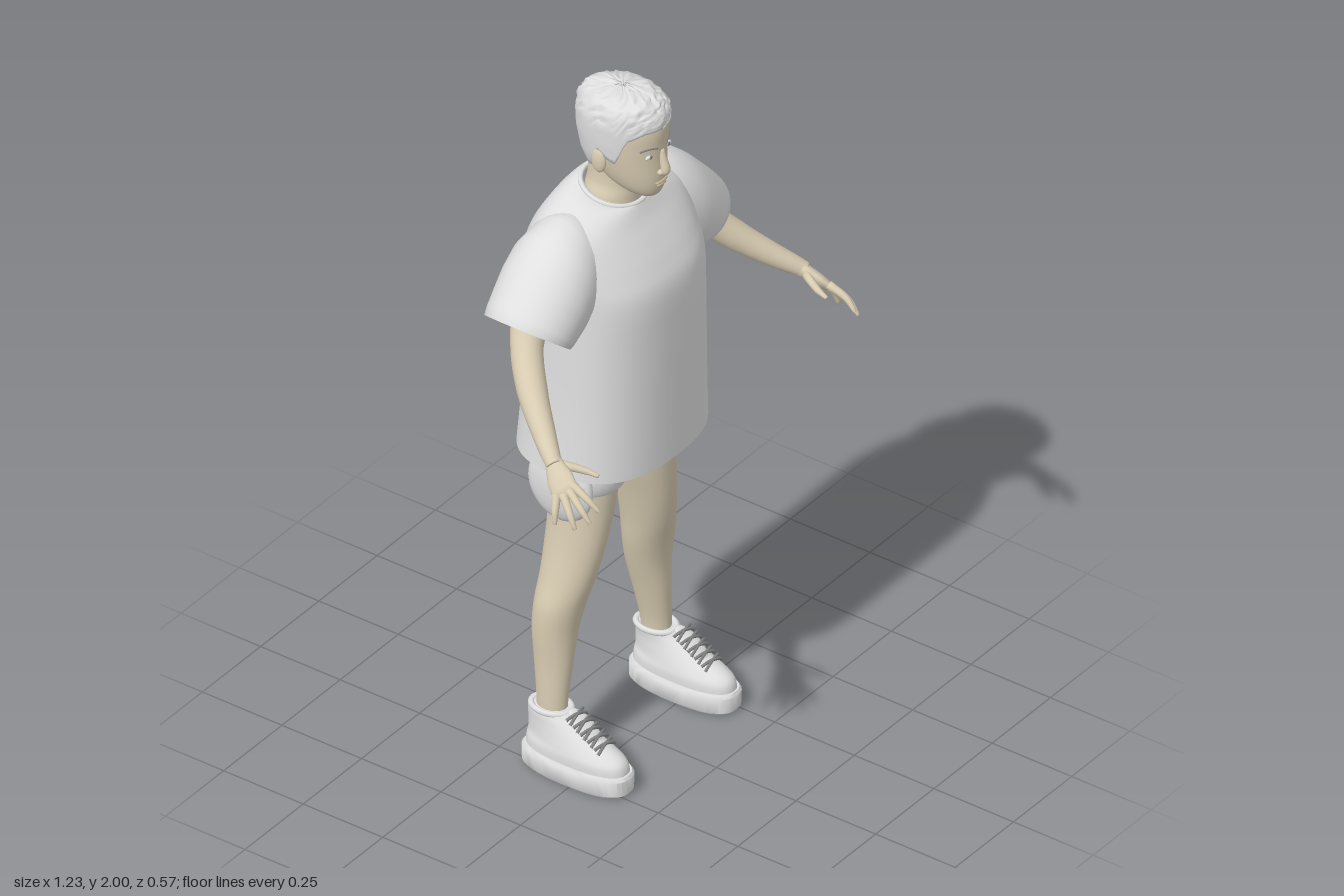
import * as THREE from 'three';
import { toCreasedNormals } from 'three/addons/utils/BufferGeometryUtils.js';

const V = (x, y, z) => new THREE.Vector3(x, y, z);
const paint = (name, color, side = THREE.FrontSide) =>
  Object.assign(new THREE.MeshStandardMaterial({ color, side }), { name });

// Skin over rings of points; caps close the first and last ring.
function loft(rings, capStart = true, capEnd = true) {
  const n = rings[0].length, pos = [], idx = [];
  rings.forEach(r => r.forEach(p => pos.push(p.x, p.y, p.z)));
  for (let i = 0; i < rings.length - 1; i++) for (let j = 0; j < n; j++) {
    const k = (j + 1) % n, a = i * n + j, b = i * n + k;
    idx.push(a, b, b + n, a, b + n, a + n);
  }
  const cap = (i, flip) => {
    const c = rings[i].reduce((s, p) => s.add(p), V(0, 0, 0)).divideScalar(n);
    const m = pos.length / 3;
    pos.push(c.x, c.y, c.z);
    for (let j = 0; j < n; j++) {
      const a = i * n + j, b = i * n + (j + 1) % n;
      flip ? idx.push(m, b, a) : idx.push(m, a, b);
    }
  };
  if (capStart) cap(0, true);
  if (capEnd) cap(rings.length - 1, false);
  const g = new THREE.BufferGeometry();
  g.setAttribute('position', new THREE.Float32BufferAttribute(pos, 3));
  g.setIndex(idx);
  g.computeVertexNormals();
  return g;
}

const ring = (c, u, v, n = 32, pow = 2) => Array.from({ length: n }, (_, j) => {
  const t = j / n * Math.PI * 2, s = Math.sin(t), k = Math.cos(t), f = q => Math.sign(q) * Math.abs(q) ** (2 / pow);
  return c.clone().addScaledVector(u, f(s)).addScaledVector(v, f(k));
});

// Level oval sections, bottom to top: [y, x0, x1, zBack, zFront, tilt, power]
function ovals(list, { steps = 4, start = true, end = true, n = 40 } = {}) {
  const full = list.map(r => [...r, ...[0, 2].slice(r.length - 5)]);
  const curves = full[0].map((_, c) => new THREE.SplineCurve(full.map((r, i) => new THREE.Vector2(i, r[c]))));
  const count = (list.length - 1) * steps, rings = [];
  for (let i = 0; i <= count; i++) {
    const [y, x0, x1, z0, z1, tilt, pow] = curves.map(c => c.getPoint(i / count).y);
    rings.push(ring(V((x0 + x1) / 2, y, (z0 + z1) / 2), V((x1 - x0) / 2, 0, 0), V(0, -tilt, (z1 - z0) / 2), n, pow));
  }
  return loft(rings, start, end);
}

// Round limb along points [x, y, z, radius]
function limb(pts, n = 16, steps = 4) {
  const curve = new THREE.CatmullRomCurve3(pts.map(p => V(...p)));
  const count = (pts.length - 1) * steps, rings = [];
  for (let i = 0; i <= count; i++) {
    const t = i / count, f = t * (pts.length - 1), a = Math.min(Math.floor(f), pts.length - 2);
    const r = THREE.MathUtils.lerp(pts[a][3], pts[a + 1][3], f - a);
    const d = curve.getTangent(t), u = V(0, 0, 1).cross(d).normalize(), v = u.clone().cross(d);
    rings.push(ring(curve.getPoint(t), u.multiplyScalar(r), v.multiplyScalar(r), n));
  }
  return loft(rings);
}

const ball = (x, y, z, rx, ry, rz) => new THREE.SphereGeometry(1, 20, 14).scale(rx, ry, rz).translate(x, y, z);

function mirrored(geo) {
  const g = geo.index ? geo.toNonIndexed() : geo.clone();
  g.scale(-1, 1, 1);
  for (const a of Object.values(g.attributes)) for (let i = 0; i < a.count; i += 3) for (let k = 0; k < a.itemSize; k++) {
    const p = (i + 1) * a.itemSize + k, q = p + a.itemSize;
    [a.array[p], a.array[q]] = [a.array[q], a.array[p]];
  }
  return g;
}

// Short hair with an uneven hairline and a rough crown
function hairGeometry() {
  const line = [[0, 1.915], [35, 1.91], [58, 1.885], [72, 1.81], [82, 1.815], [95, 1.84], [118, 1.765], [150, 1.745], [180, 1.74]];
  const shape = [[1.73, -.135, .08, .07], [1.8, -.162, .083, .093], [1.86, -.174, .088, .099], [1.91, -.176, .09, .1],
    [1.945, -.168, .086, .094], [1.97, -.15, .067, .08], [1.985, -.12, .036, .054], [1.993, -.05, -.04, .005]];
  const sample = (tab, x) => {
    let i = 0;
    while (i < tab.length - 2 && x > tab[i + 1][0]) i++;
    const t = THREE.MathUtils.clamp((x - tab[i][0]) / (tab[i + 1][0] - tab[i][0]), 0, 1);
    return tab[i].map((v, c) => v + (tab[i + 1][c] - v) * t);
  };
  let seed = 7;
  const rnd = () => (seed = (seed * 16807) % 2147483647) / 2147483647 - .5;
  const rings = [], n = 64, rows = 22;
  for (let i = -1; i <= rows; i++) rings.push(Array.from({ length: n }, (_, j) => {
    const a = j / n * 360, t = Math.max(i, 0) / rows;
    const low = sample(line, a > 180 ? 360 - a : a)[1];
    const y = low + (1.993 - low) * (1 - (1 - t) ** 1.5);
    const [, zb, zf, rx] = sample(shape, y);
    const rough = y > 1.92 ? .009 * rnd() : 0, k = (i < 0 ? .86 : 1) + rough * 7;
    const s = a * Math.PI / 180;
    return V(rx * k * Math.sin(s), y + rough, (zb + zf) / 2 + (zf - zb) / 2 * k * Math.cos(s));
  }));
  return loft(rings, false, true);
}

export function createModel() {
  const model = new THREE.Group();
  const skin = paint('skin', 0xd8ccb2), cloth = paint('white cloth', 0xe0e0e0, THREE.DoubleSide);
  const hair = paint('hair', 0xdedede, THREE.DoubleSide), shoe = paint('shoe white', 0xdfdfdf);
  const dark = paint('lace grey', 0x868686), lip = paint('lips', 0xc3b098);
  const add = (name, geo, mat) => {
    const m = new THREE.Mesh(geo, mat);
    m.name = name;
    model.add(m);
  };
  const pair = (name, geo, mat) => {
    add(name + 'Left', geo, mat);
    add(name + 'Right', mirrored(geo), mat);
  };

  // Shirt
  add('shirtBody', ovals([
    [.92, -.26, .26, -.285, .13, 0, 2.5], [1.1, -.25, .25, -.272, .13, 0, 2.5], [1.3, -.246, .246, -.27, .13, 0, 2.5],
    [1.44, -.245, .245, -.272, .126, 0, 2.5], [1.51, -.25, .25, -.268, .1, 0, 2.4], [1.57, -.25, .25, -.25, .066, 0, 2.3],
    [1.615, -.235, .235, -.225, .04, .004, 2.2], [1.65, -.185, .185, -.2, .025, .01, 2.1], [1.672, -.125, .125, -.175, .017, .016, 2],
    [1.676, -.088, .088, -.155, .012, .022, 2]], { start: false, end: false, n: 64 }), cloth);
  const collar = new THREE.CatmullRomCurve3(Array.from({ length: 16 }, (_, i) => {
    const t = i / 16 * Math.PI * 2;
    return V(.088 * Math.sin(t), 1.677 - .022 * Math.cos(t), -.072 + .084 * Math.cos(t));
  }), true);
  add('collar', new THREE.TubeGeometry(collar, 48, .007, 8, true), cloth);
  // Sleeve sections: [top x, top y, bottom x, bottom y, half depth]
  pair('sleeve', loft([[.1, 1.66, .1, 1.44, .08], [.2, 1.662, .17, 1.38, .115], [.265, 1.635, .2, 1.36, .128],
    [.32, 1.588, .222, 1.345, .13], [.37, 1.535, .24, 1.335, .127], [.41, 1.492, .25, 1.33, .124], [.43, 1.468, .258, 1.328, .12],
    [.424, 1.464, .264, 1.334, .112], [.37, 1.51, .262, 1.365, .1]].map(([tx, ty, bx, by, h]) =>
    ring(V((tx + bx) / 2, (ty + by) / 2, -.093), V(0, 0, h), V((tx - bx) / 2, (ty - by) / 2, 0), 36)), true, false), cloth);

  // Shorts
  add('shortsHips', ovals([[.89, -.18, .18, -.17, .02], [.96, -.215, .215, -.2, .05], [1.1, -.2, .2, -.19, .04]]), cloth);
  pair('shortsLeg', ovals([[.835, .03, .215, -.17, .022], [.842, .022, .222, -.178, .032], [.88, .012, .228, -.185, .04],
    [.96, .005, .22, -.185, .04]]), cloth);
  pair('shortsSide', ball(.232, .875, -.07, .032, .108, .1), cloth);

  // Legs
  pair('leg', ovals([[.1, .188, .255, -.145, -.06], [.19, .188, .257, -.146, -.06], [.3, .165, .256, -.16, -.055],
    [.4, .138, .26, -.171, -.05], [.48, .118, .258, -.17, -.036], [.56, .104, .238, -.166, -.015], [.66, .083, .218, -.166, .003],
    [.78, .052, .205, -.166, .014], [.9, .03, .2, -.165, .02]]), skin);

  // Shoes
  pair('sole', toCreasedNormals(ovals([[0, .168, .292, -.172, .136, 0, 2.6], [.008, .162, .298, -.18, .145, 0, 2.6],
    [.052, .162, .298, -.18, .147, 0, 2.6], [.06, .168, .292, -.174, .141, 0, 2.6]], { steps: 1 }), .7), shoe);
  pair('shoeUpper', ovals([[.05, .17, .29, -.172, .138, 0, 2.4], [.08, .17, .29, -.17, .132, 0, 2.3], [.1, .174, .286, -.168, .112],
    [.122, .18, .28, -.167, .065], [.145, .185, .275, -.168, .018], [.165, .186, .272, -.168, -.02], [.18, .184, .268, -.165, -.04]]), shoe);
  pair('shoeCollar', new THREE.TorusGeometry(1, .17, 10, 32).rotateX(Math.PI / 2).scale(.042, .05, .056).translate(.225, .176, -.104), shoe);
  pair('tongue', new THREE.SphereGeometry(1, 16, 12).scale(.03, .011, .06).rotateX(.62).translate(.228, .155, .005), shoe);
  for (let i = 0; i < 5; i++) {
    const y = .124 + i * .014, z = .066 - i * .022, w = .036;
    for (const s of [-1, 1]) pair('lace' + i + (s > 0 ? 'Up' : 'Down'), new THREE.TubeGeometry(new THREE.QuadraticBezierCurve3(
      V(.23 - w, y - .006 - s * .005, z - s * -.006), V(.23, y + .018, z + .008), V(.23 + w, y - .006 + s * .005, z - s * .006)), 10, .0045, 6), dark);
  }

  // Arms and hands
  pair('arm', limb([[.24, 1.53, -.1, .058], [.31, 1.45, -.1, .052], [.37, 1.375, -.075, .043], [.43, 1.3, -.015, .04],
    [.49, 1.235, .065, .031], [.53, 1.197, .122, .023], [.537, 1.188, .135, .022]], 20), skin);
  const across = V(.54, -.52, -.66).normalize(), along = V(.035, -.055, .065).normalize();
  const thick = across.clone().cross(along).normalize();
  pair('palm', loft([[0, .022, .019], [.25, .027, .018], [.6, .036, .017], [.9, .036, .014], [1.08, .03, .009]].map(([t, w, h]) =>
    ring(V(.53 + .035 * t, 1.197 - .053 * t, .122 + .066 * t), across.clone().multiplyScalar(w), thick.clone().multiplyScalar(h), 20))), skin);
  [['thumb', [.522, 1.188, .15], [.497, 1.177, .205], [.49, 1.17, .238]], ['index', [.55, 1.162, .2], [.555, 1.14, .25], [.55, 1.112, .283]],
    ['middle', [.56, 1.15, .197], [.575, 1.118, .245], [.575, 1.085, .274]], ['ring', [.572, 1.14, .187], [.594, 1.102, .225], [.6, 1.07, .245]],
    ['little', [.577, 1.135, .17], [.6, 1.1, .182], [.609, 1.068, .188]]].forEach(([name, a, b, c]) =>
    pair(name + 'Finger', limb([[...a, .012], [...b, .0095], [...c, .005]], 10), skin));

  // Neck and head
  add('neck', ovals([[1.6, -.085, .085, -.155, 0], [1.67, -.075, .075, -.148, -.002], [1.71, -.062, .062, -.142, -.004],
    [1.78, -.06, .06, -.14, 0]]), skin);
  add('head', ovals([[1.693, -.022, .022, .005, .058], [1.705, -.042, .042, -.03, .07], [1.73, -.062, .062, -.085, .078],
    [1.765, -.076, .076, -.125, .081], [1.81, -.086, .086, -.148, .08], [1.85, -.09, .09, -.156, .081], [1.9, -.09, .09, -.158, .083],
    [1.94, -.08, .08, -.148, .07], [1.97, -.045, .045, -.1, .02]], { n: 48 }), skin);
  add('hair', hairGeometry(), hair);
  add('noseBridge', limb([[0, 1.84, .074, .009], [0, 1.81, .083, .011], [0, 1.782, .09, .013], [0, 1.77, .083, .01]]), skin);
  pair('nostril', ball(.011, 1.777, .081, .009, .008, .01), skin);
  add('upperLip', ball(0, 1.745, .076, .024, .005, .009), lip);
  add('lowerLip', ball(0, 1.736, .075, .02, .006, .009), lip);
  pair('ear', ball(.093, 1.805, -.052, .011, .036, .022).rotateX(0), skin);
  pair('eye', ball(.038, 1.833, .067, .016, .006, .006), hair);
  pair('iris', ball(.038, 1.833, .0715, .0055, .0055, .003), dark);
  pair('eyebrow', new THREE.TubeGeometry(new THREE.QuadraticBezierCurve3(
    V(.018, 1.853, .079), V(.042, 1.864, .073), V(.06, 1.852, .053)), 10, .0025, 6), dark);
  return model;
}
